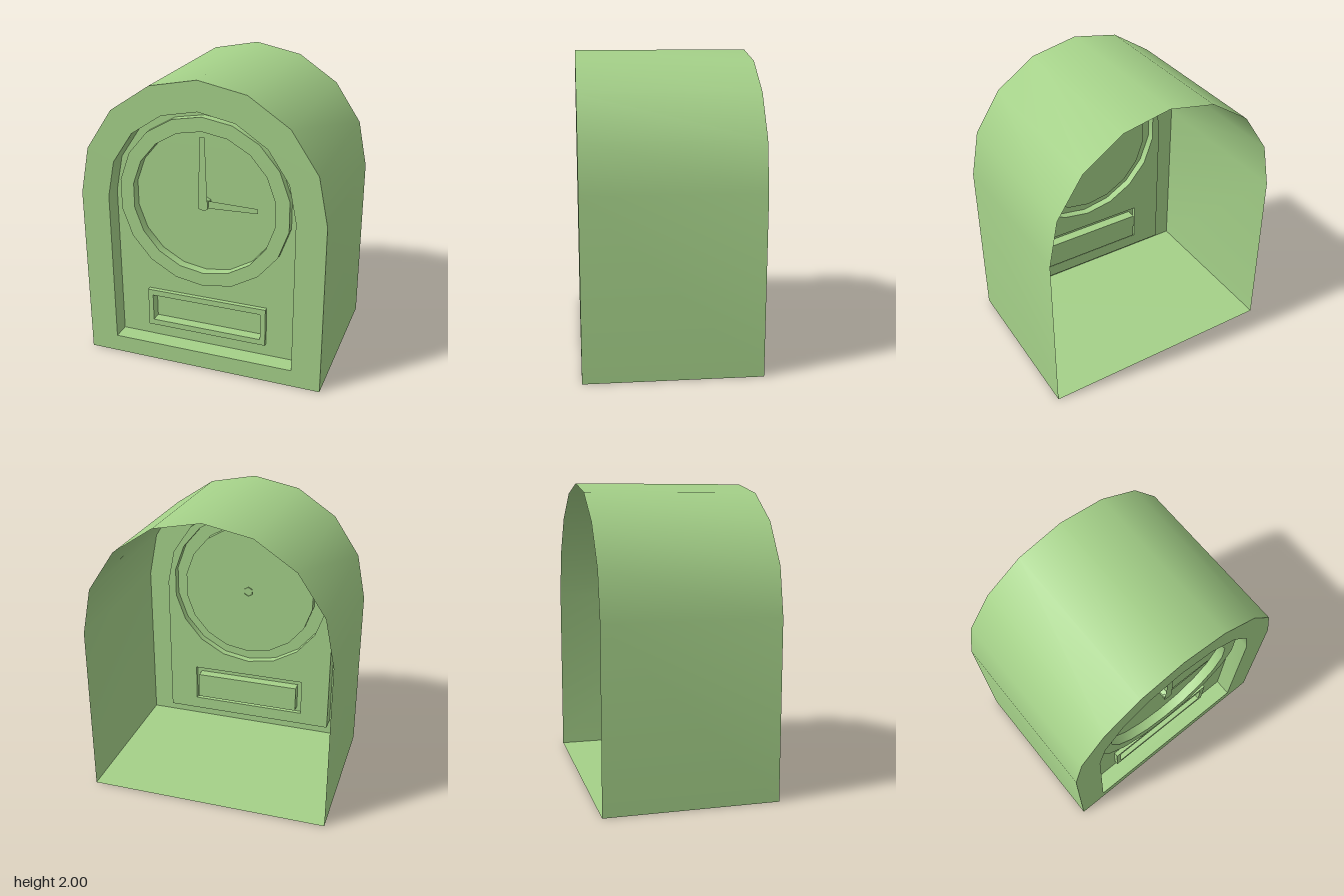
import * as THREE from 'three';
import { toCreasedNormals } from 'three/addons/utils/BufferGeometryUtils.js';

const CY = 1.175; // height of the dial centre and of the arch springing

// Outlines, all counter-clockwise seen from the front
function arch(r, base) {
  const pts = [[-r, base], [r, base]];
  for (let i = 0; i <= 8; i++) {
    const a = (i * Math.PI) / 8;
    pts.push([r * Math.cos(a), CY + r * Math.sin(a)]);
  }
  return pts;
}

function circle(r, sides = 18) {
  return Array.from({ length: sides }, (_, i) => {
    const a = Math.PI / 2 + (i * 2 * Math.PI) / sides;
    return [r * Math.cos(a), CY + r * Math.sin(a)];
  });
}

const rect = (x, y0, y1) => [[-x, y0], [x, y0], [x, y1], [-x, y1]];
const vectors = (pts) => pts.map(([x, y]) => new THREE.Vector2(x, y));

export function createModel() {
  const model = new THREE.Group();
  const material = new THREE.MeshStandardMaterial({ color: 0xa4d088, side: THREE.DoubleSide });

  function add(name, geometry) {
    const mesh = new THREE.Mesh(geometry, material);
    mesh.name = name;
    model.add(mesh);
  }

  // Flat sheet facing +z, with optional holes
  function plate(name, outline, z, holes = []) {
    const shape = new THREE.Shape(vectors(outline));
    holes.forEach((h) => shape.holes.push(new THREE.Path(vectors(h))));
    add(name, new THREE.ShapeGeometry(shape).translate(0, 0, z));
  }

  // Strip along a closed outline; faces outward when zFront > zBack, inward otherwise
  function wall(name, outline, zFront, zBack) {
    const pos = [], index = [], n = outline.length;
    outline.forEach(([x, y], i) => {
      pos.push(x, y, zFront, x, y, zBack);
      const a = 2 * i, b = 2 * ((i + 1) % n);
      index.push(a, a + 1, b, b, a + 1, b + 1);
    });
    const g = new THREE.BufferGeometry();
    g.setAttribute('position', new THREE.Float32BufferAttribute(pos, 3));
    g.setIndex(index);
    add(name, toCreasedNormals(g, 0.7));
  }

  // Case: arched shell with floor, open at the back
  const body = arch(0.825, 0);
  const opening = arch(0.63, 0.12);
  wall('caseShell', body, 0.57, -0.57);
  plate('frontFrame', body, 0.57, [opening]);
  wall('frameReveal', opening, 0.45, 0.57);

  // Recessed panel with openings for dial and lower window
  const ringOuter = circle(0.58), ringInner = circle(0.487);
  const windowOuter = rect(0.42, 0.21, 0.48), windowInner = rect(0.385, 0.25, 0.44);
  plate('frontPanel', opening, 0.45, [ringOuter, windowOuter]);

  // Raised bezel around the dial
  wall('bezelOuterWall', ringOuter, 0.505, 0.45);
  plate('bezelFace', ringOuter, 0.505, [ringInner]);
  wall('bezelInnerWall', ringInner, 0.44, 0.505);
  plate('dial', ringInner, 0.44);

  // Raised window border with a sunken pane
  wall('windowOuterWall', windowOuter, 0.48, 0.45);
  plate('windowBorder', windowOuter, 0.48, [windowInner]);
  wall('windowInnerWall', windowInner, 0.41, 0.48);
  plate('windowPane', windowInner, 0.41);

  // Hands on a small pin
  plate('hourHand', [[-0.03, 1.145], [0.36, 1.157], [0.36, 1.19], [-0.03, 1.2]], 0.48);
  plate('minuteHand', [[-0.033, 1.145], [0, 1.135], [0.03, 1.145], [0.016, 1.627], [-0.018, 1.627]], 0.5);
  const pin = circle(0.035, 6);
  wall('handPin', pin, 0.495, 0.43);
  plate('handPinCap', pin, 0.495);

  return model;
}
